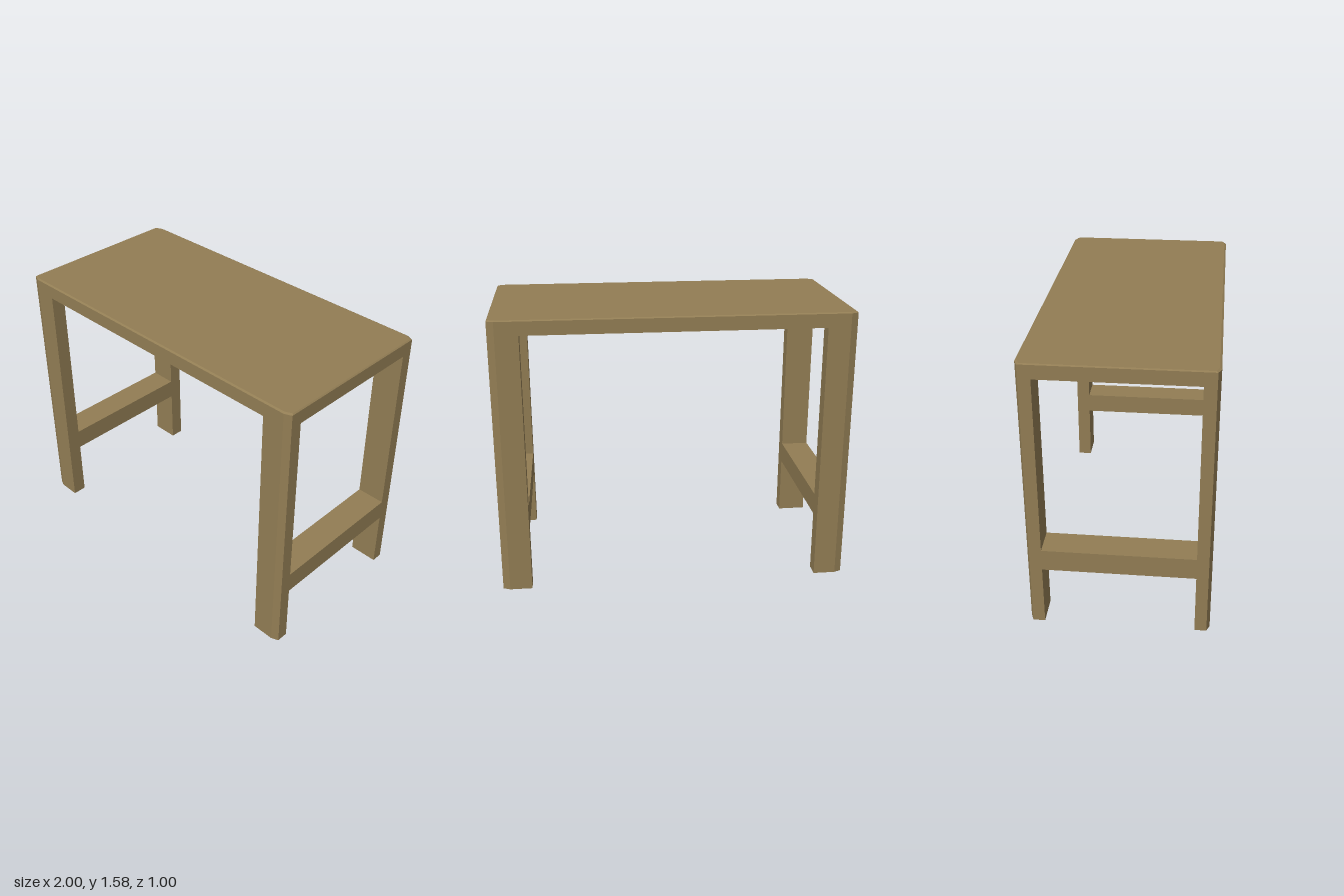
import * as THREE from 'three';

const HX = 1, HZ = 0.5;            // half length and half depth
const LEG_X = 0.167, LEG_Z = 0.083; // leg section
const CX = 0.04, CZ = 0.017;       // corner chamfer
const UNDER = 1.5, EDGE = 1.577, TOP = 1.583;

// Upright prism from a plan outline of [x, z] points
function prism(points, y0, y1) {
  const shape = new THREE.Shape(points.map(([x, z]) => new THREE.Vector2(x, -z)));
  const geo = new THREE.ExtrudeGeometry(shape, { depth: y1 - y0, bevelEnabled: false });
  return geo.rotateX(-Math.PI / 2).translate(0, y0, 0);
}

export function createModel() {
  const group = new THREE.Group();
  const wood = new THREE.MeshStandardMaterial({ color: 0x927d54, flatShading: true });
  const add = (name, geo) => {
    const mesh = new THREE.Mesh(geo, wood);
    mesh.name = name;
    group.add(mesh);
    return mesh;
  };

  // Table top: chamfered corners, with a fine bevel around the upper edge
  const outline = [
    [HX, HZ - CZ], [HX - CX, HZ], [CX - HX, HZ], [-HX, HZ - CZ],
    [-HX, CZ - HZ], [CX - HX, -HZ], [HX - CX, -HZ], [HX, CZ - HZ],
  ];
  add('tableTopSlab', prism(outline, UNDER, EDGE));
  const bevel = prism(outline, EDGE, TOP);
  const p = bevel.attributes.position;
  for (let i = 0; i < p.count; i++) {
    if (p.getY(i) > EDGE + 0.003) p.setXYZ(i, p.getX(i) * 0.994, p.getY(i), p.getZ(i) * 0.98);
  }
  bevel.computeVertexNormals();
  add('tableTopBevel', bevel);

  for (const sx of [-1, 1]) {
    const side = sx > 0 ? 'left' : 'right';

    // Legs with the outer corner chamfered
    for (const sz of [-1, 1]) {
      const section = [
        [HX - LEG_X, HZ - LEG_Z], [HX, HZ - LEG_Z], [HX, HZ - CZ],
        [HX - CX, HZ], [HX - LEG_X, HZ],
      ].map(([x, z]) => [x * sx, z * sz]);
      add(`${side}${sz > 0 ? 'Front' : 'Back'}Leg`, prism(section, 0, UNDER));
    }

    // Rail joining the two legs of one end
    const rail = add(`${side}Rail`, new THREE.BoxGeometry(LEG_X, 0.125, 2 * (HZ - LEG_Z)));
    rail.position.set(sx * (HX - LEG_X / 2), 0.4175, 0);
  }
  return group;
}
